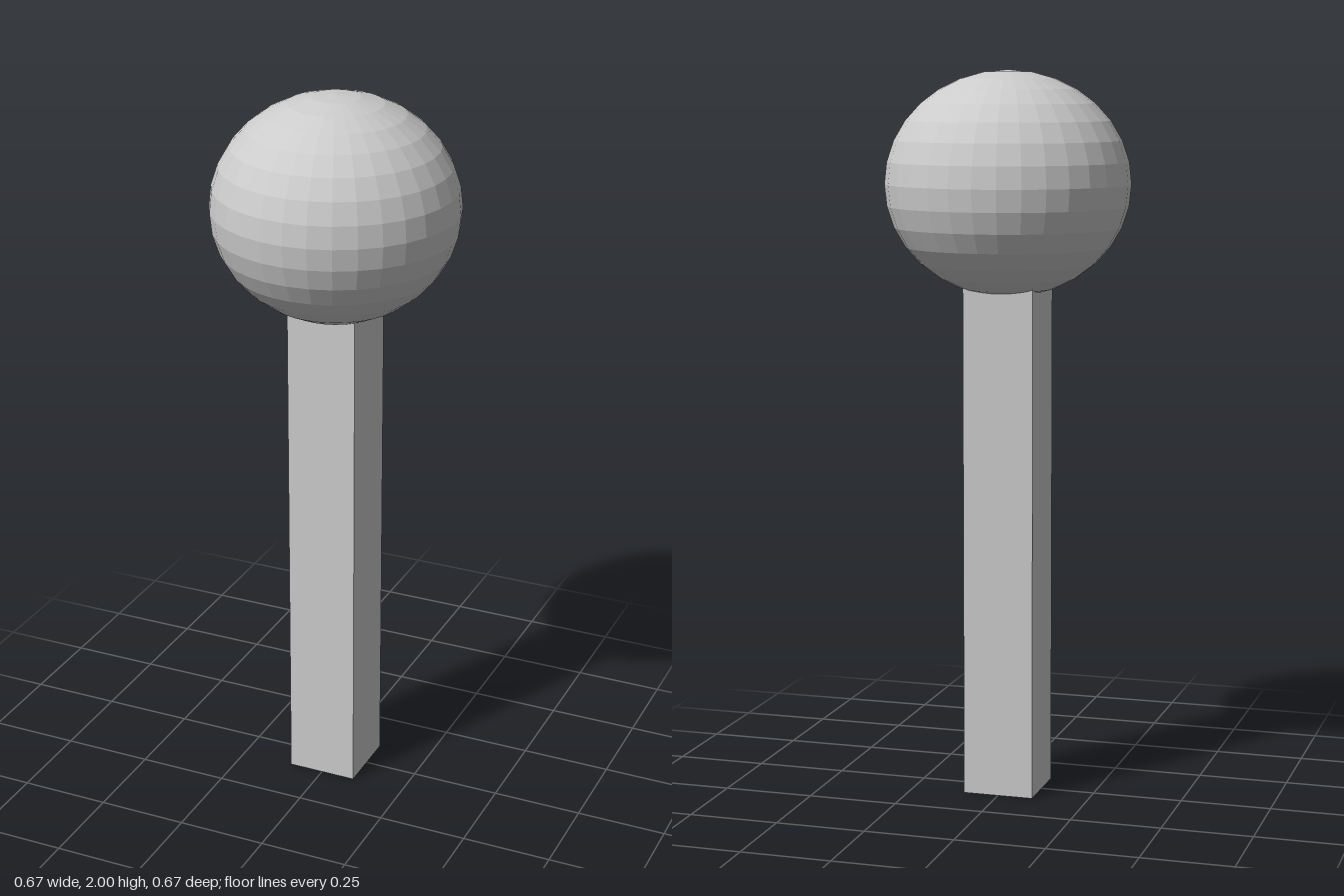
import * as THREE from 'three';

export function createModel() {
  const model = new THREE.Group();
  const material = new THREE.MeshStandardMaterial({ color: 0xcccccc, flatShading: true });

  // Square post, its top sunk into the ball
  const postHeight = 1.5;
  const post = new THREE.Mesh(new THREE.BoxGeometry(0.197, postHeight, 0.197), material);
  post.name = 'post';
  post.position.y = postHeight / 2;

  // Slightly flattened faceted ball
  const ball = new THREE.Mesh(new THREE.SphereGeometry(1, 32, 16).scale(0.336, 0.307, 0.336), material);
  ball.name = 'ball';
  ball.position.y = 2 - 0.307;

  model.add(post, ball);
  return model;
}
